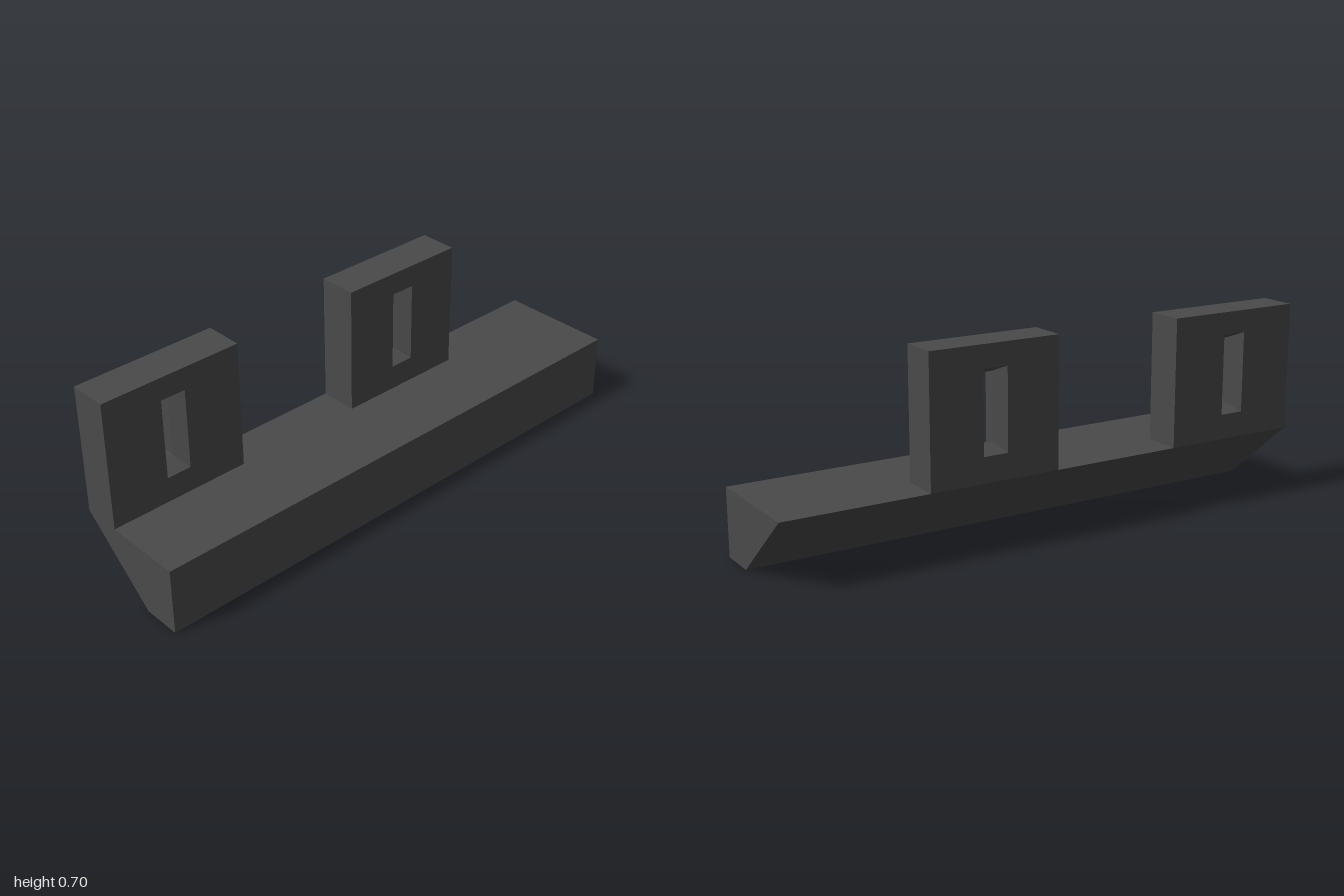
import * as THREE from 'three';

const BACK = -0.21, FRONT = 0.21, TOP = 0.24;
const WALL_FRONT = -0.073, WALL_TOP = 0.7;

// Four corners of an upright rectangle at depth z, counter-clockwise from the front
function rect(x0, x1, y0, y1, z) {
  return [[x0, y0, z], [x1, y0, z], [x1, y1, z], [x0, y1, z]];
}

// Wall block pierced by a slot that narrows to a waist halfway through
function slottedWall(x0, x1) {
  const cx = (x0 + x1) / 2, mid = (BACK + WALL_FRONT) / 2;
  const slot = z => rect(cx - 0.045, cx + 0.045, 0.33, 0.62, z);
  const loops = [
    rect(x0, x1, TOP, WALL_TOP, BACK),
    rect(x0, x1, TOP, WALL_TOP, WALL_FRONT),
    slot(WALL_FRONT),
    rect(cx - 0.025, cx + 0.025, 0.355, 0.592, mid),
    slot(BACK),
  ];
  const positions = [];
  loops.forEach((a, k) => {
    const b = loops[(k + 1) % loops.length];
    for (let i = 0; i < 4; i++) {
      const j = (i + 1) % 4;
      positions.push(...a[i], ...a[j], ...b[j], ...a[i], ...b[j], ...b[i]);
    }
  });
  const geometry = new THREE.BufferGeometry();
  geometry.setAttribute('position', new THREE.Float32BufferAttribute(positions, 3));
  geometry.computeVertexNormals();
  return geometry;
}

export function createModel() {
  const group = new THREE.Group();
  group.name = 'battlement';
  const stone = new THREE.MeshStandardMaterial({ color: 0x4a4a4a });
  stone.name = 'darkStone';

  const add = (name, geometry) => {
    const mesh = new THREE.Mesh(geometry, stone);
    mesh.name = name;
    group.add(mesh);
  };

  // Ledge with a sloping underside at the back; the profile runs along -z
  const profile = new THREE.Shape([
    new THREE.Vector2(-FRONT, 0),
    new THREE.Vector2(-0.073, 0),
    new THREE.Vector2(-BACK, TOP),
    new THREE.Vector2(-FRONT, TOP),
  ]);
  const ledge = new THREE.ExtrudeGeometry(profile, { depth: 2, bevelEnabled: false });
  ledge.rotateY(Math.PI / 2).translate(-1, 0, 0);
  add('ledge', ledge);

  // Upright blocks with window slots
  add('rightMerlon', slottedWall(-1, -0.485));
  add('leftMerlon', slottedWall(0, 0.483));

  return group;
}
